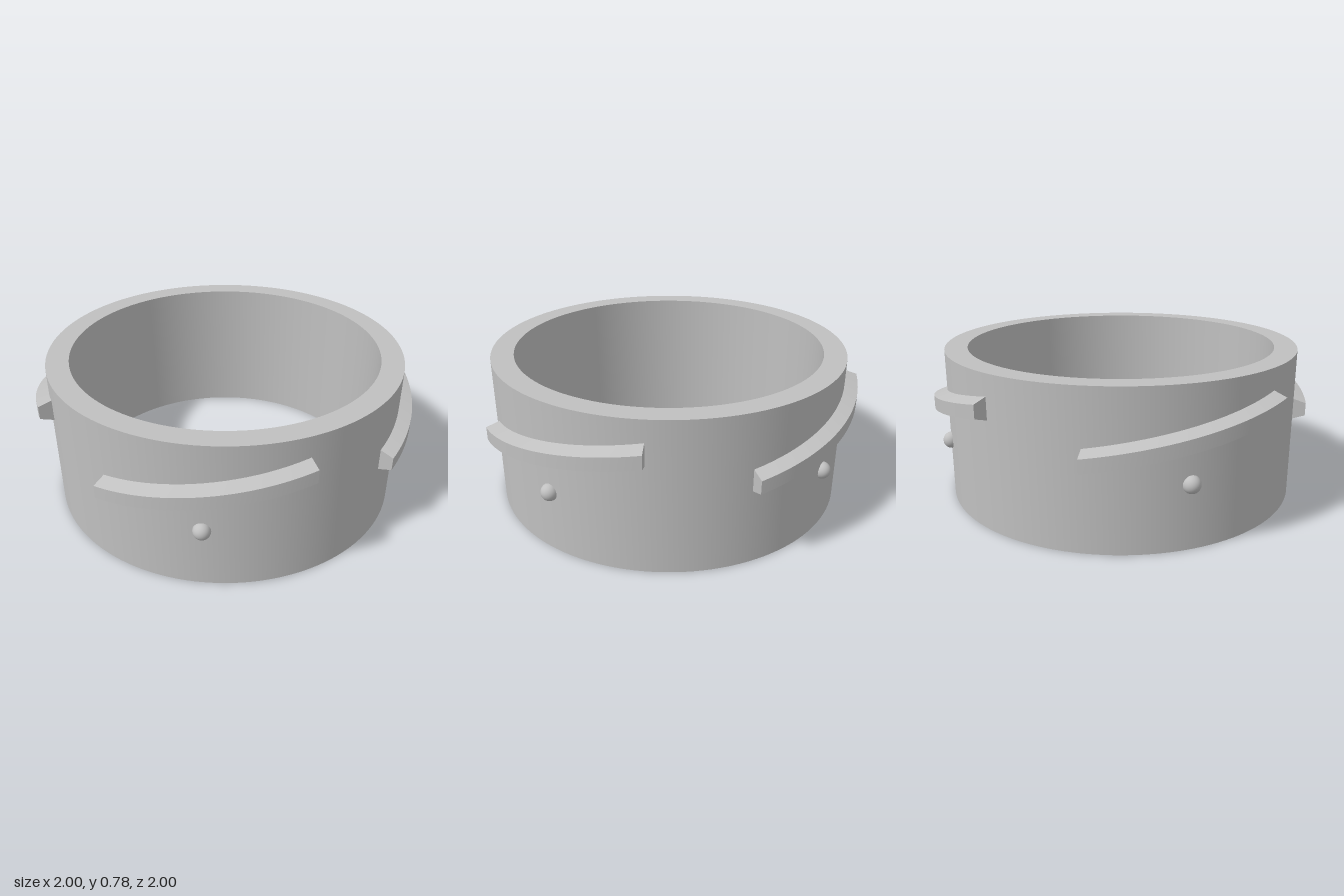
import * as THREE from 'three';
import { toCreasedNormals } from 'three/addons/utils/BufferGeometryUtils.js';

const OUTER = 0.932, INNER = 0.815, HEIGHT = 0.78;

// Ring wall: closed profile turned about y
function ringGeometry() {
  const profile = [[INNER, 0], [OUTER, 0], [OUTER, HEIGHT], [INNER, HEIGHT], [INNER, 0]]
    .map(([r, y]) => new THREE.Vector2(r, y));
  return toCreasedNormals(new THREE.LatheGeometry(profile, 128), 0.6);
}

// Thread segment: trapezoid section swept 60 degrees while it climbs
function threadGeometry() {
  const section = [[0.92, 0.384], [1, 0.41], [1, 0.478], [0.92, 0.504]];
  const sweep = Math.PI / 3, rise = 0.17, steps = 32;
  const positions = [], index = [];
  for (let i = 0; i <= steps; i++) {
    const t = i / steps, a = t * sweep;
    for (const [r, y] of section) positions.push(r * Math.sin(a), y + rise * t, r * Math.cos(a));
  }
  for (let i = 0; i < steps; i++) {
    for (let k = 0; k < 4; k++) {
      const a = i * 4 + k, d = i * 4 + (k + 1) % 4;
      const b = a + 4, c = d + 4;
      index.push(a, b, c, a, c, d);
    }
  }
  // End caps
  const e = steps * 4;
  index.push(0, 1, 2, 0, 2, 3, e, e + 2, e + 1, e, e + 3, e + 2);
  const geometry = new THREE.BufferGeometry();
  geometry.setAttribute('position', new THREE.Float32BufferAttribute(positions, 3));
  geometry.setIndex(index);
  return toCreasedNormals(geometry, 0.25);
}

export function createModel() {
  const group = new THREE.Group();
  group.name = 'threadedCollar';
  const grey = new THREE.MeshStandardMaterial({ color: 0xc0c0c0 });
  grey.name = 'light grey';

  const add = (name, geometry) => {
    const mesh = new THREE.Mesh(geometry, grey);
    mesh.name = name;
    group.add(mesh);
    return mesh;
  };

  add('ring', ringGeometry());

  // Four threads, each with a locking bump below its middle
  const thread = threadGeometry();
  const bump = new THREE.SphereGeometry(0.043, 32, 20);
  for (let i = 0; i < 4; i++) {
    const turn = i * Math.PI / 2, a = turn + Math.PI / 6;
    add('thread' + (i + 1), thread).rotation.y = turn;
    add('bump' + (i + 1), bump).position.set(OUTER * Math.sin(a), 0.32, OUTER * Math.cos(a));
  }
  return group;
}
